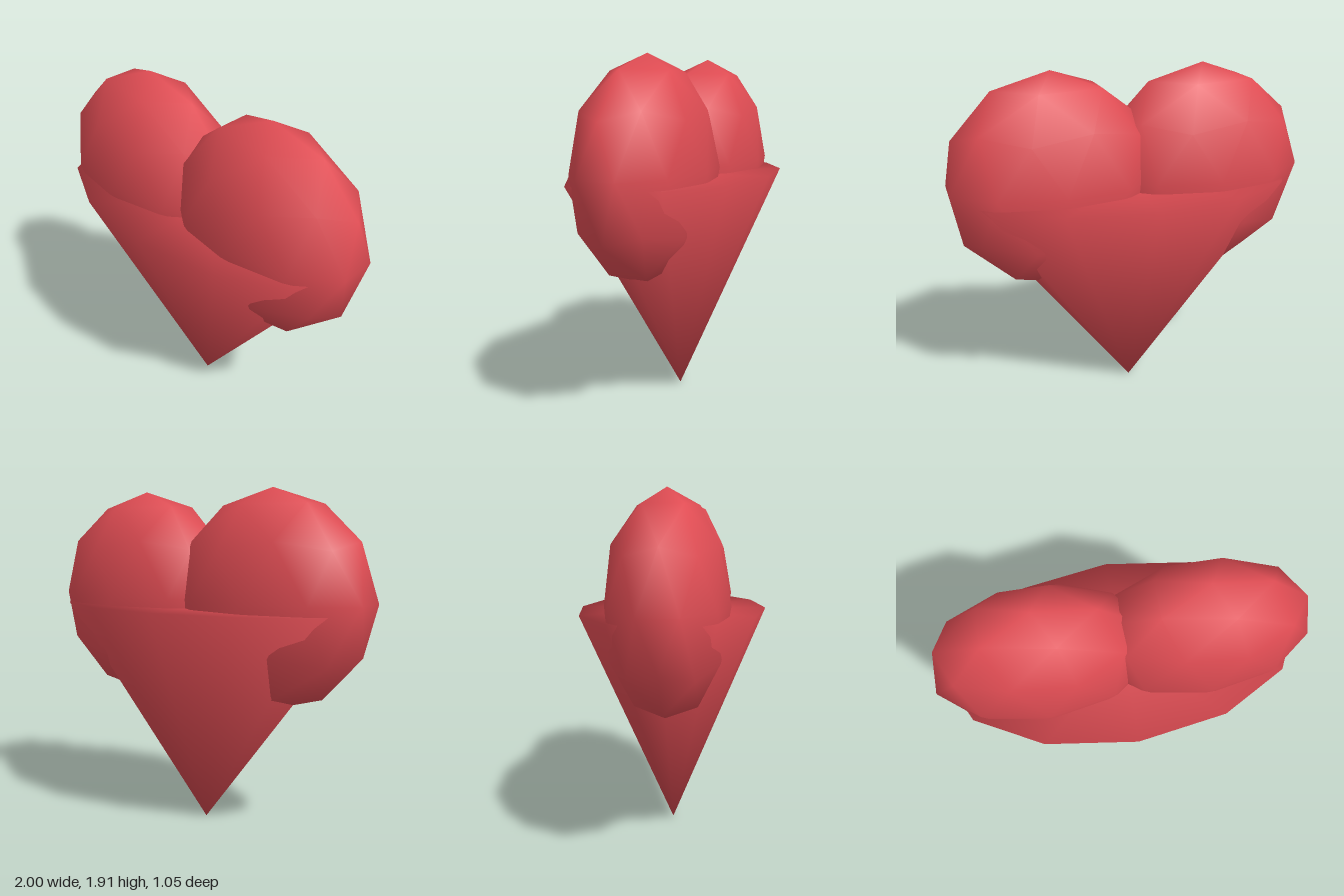
import * as THREE from 'three';
import { mergeVertices } from 'three/addons/utils/BufferGeometryUtils.js';

export function createModel() {
  const heart = new THREE.Group();
  heart.name = 'heart';
  const red = new THREE.MeshStandardMaterial({ name: 'heart red', color: 0xdf4c53 });

  // Capped twelve-sided cone, point down, shaded smoothly over its rim
  const height = 1.26;
  let cone = new THREE.ConeGeometry(1, height, 12);
  cone.rotateX(Math.PI);
  cone.scale(0.96, 1, 0.523);
  cone.translate(0, height / 2, 0);
  cone.deleteAttribute('normal');
  cone.deleteAttribute('uv');
  cone = mergeVertices(cone, 1e-4);
  cone.computeVertexNormals();
  const point = new THREE.Mesh(cone, red);
  point.name = 'lowerPoint';
  heart.add(point);

  // Flattened icosphere with a vertex at its top and a ring vertex toward +x
  const golden = (1 + Math.sqrt(5)) / 2;
  const lobeGeometry = new THREE.IcosahedronGeometry(1, 1);
  lobeGeometry.rotateX(-Math.atan(golden));
  lobeGeometry.rotateY(Math.PI / 2);
  lobeGeometry.scale(0.6, 0.6, 0.33);

  // The two upper lobes
  for (const [name, x] of [['leftLobe', 0.429], ['rightLobe', -0.429]]) {
    const lobe = new THREE.Mesh(lobeGeometry, red);
    lobe.name = name;
    lobe.position.set(x, 1.31, 0);
    heart.add(lobe);
  }
  return heart;
}
